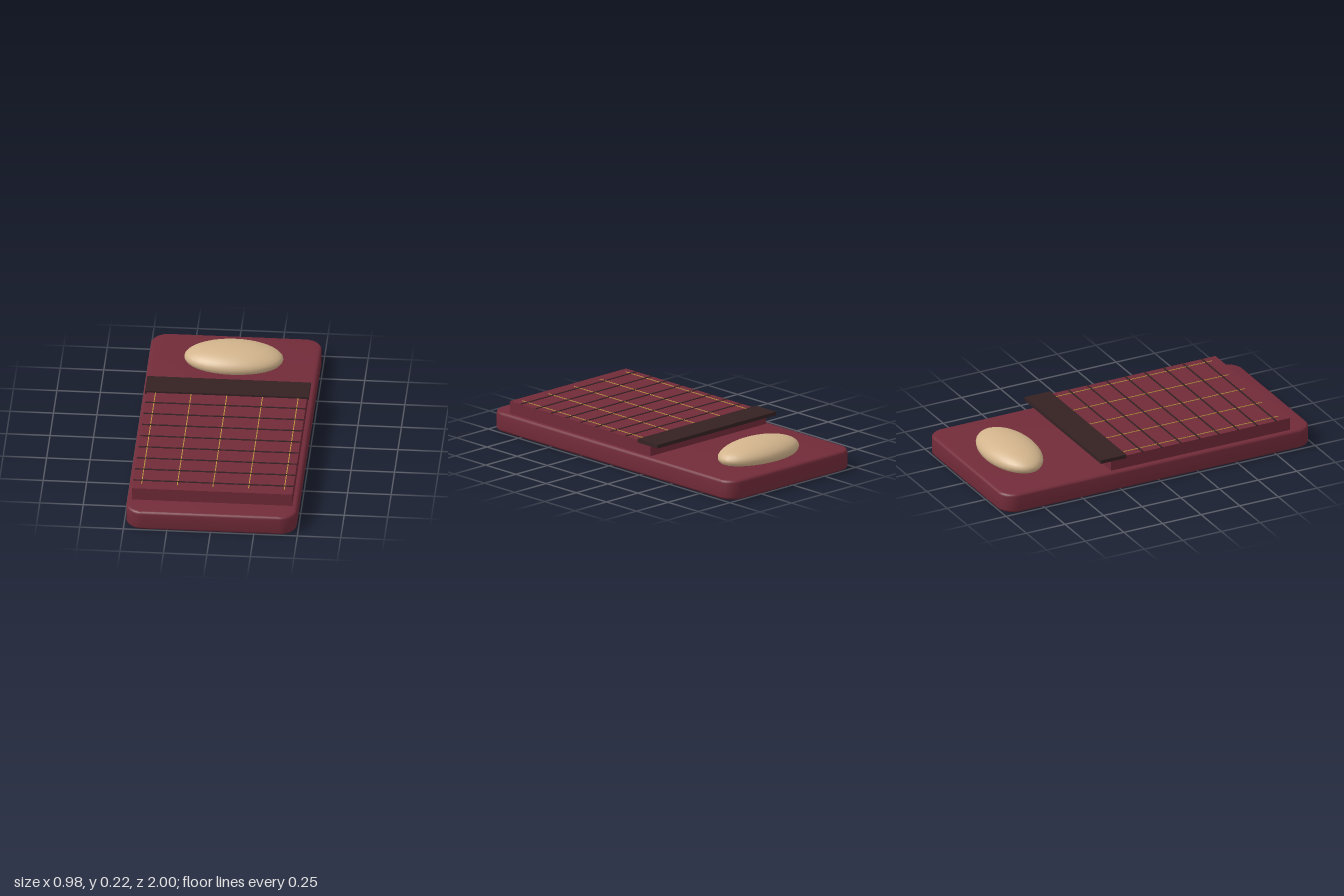
import * as THREE from 'three';
import { toCreasedNormals } from 'three/addons/utils/BufferGeometryUtils.js';

const material = (name, color) => {
  const m = new THREE.MeshStandardMaterial({ color });
  m.name = name;
  return m;
};

// Slab with rounded corners in plan and a soft bevel on its top and bottom rims
function roundedSlab(width, height, length, radius, bevel) {
  const w = width / 2 - bevel, l = length / 2 - bevel, r = radius - bevel;
  const s = new THREE.Shape();
  s.absarc(w - r, l - r, r, 0, Math.PI / 2);
  s.absarc(-w + r, l - r, r, Math.PI / 2, Math.PI);
  s.absarc(-w + r, -l + r, r, Math.PI, Math.PI * 1.5);
  s.absarc(w - r, -l + r, r, Math.PI * 1.5, Math.PI * 2);
  const g = new THREE.ExtrudeGeometry(s, {
    depth: height - 2 * bevel, bevelSize: bevel, bevelThickness: bevel,
    bevelSegments: 4, curveSegments: 8,
  });
  g.rotateX(-Math.PI / 2).translate(0, bevel, 0);
  return toCreasedNormals(g, 0.6);
}

export function createModel() {
  const model = new THREE.Group();
  model.name = 'bed';
  const wine = material('wine red', 0x722b39);
  const dark = material('dark brown', 0x352223);
  const gold = material('gold', 0xb8963e);
  const tan = material('tan', 0xd2b48c);

  const add = (name, geometry, mat, x = 0, y = 0, z = 0) => {
    const mesh = new THREE.Mesh(geometry, mat);
    mesh.name = name;
    mesh.position.set(x, y, z);
    model.add(mesh);
    return mesh;
  };

  // Mattress, blanket and the folded band at its head end
  add('mattress', roundedSlab(0.98, 0.115, 2, 0.1, 0.016), wine);
  add('blanket', new THREE.BoxGeometry(0.92, 0.08, 1.16), wine, 0, 0.15, 0.28);
  add('blanketFold', new THREE.BoxGeometry(0.94, 0.022, 0.165), dark, 0, 0.19, -0.288);

  // Plaid: dark stripes across, thin gold stripes along
  for (let i = 0; i < 8; i++) {
    add('crossStripe', new THREE.BoxGeometry(0.92, 0.006, 0.01), dark, 0, 0.19, -0.095 + i * 0.1235);
  }
  for (let i = -2; i <= 2; i++) {
    add('lengthStripe', new THREE.BoxGeometry(0.005, 0.005, 1.02), gold, i * 0.205, 0.19, 0.3);
  }

  // Pillow, sunk a little into the mattress
  const pillow = add('pillow', new THREE.SphereGeometry(1, 32, 20), tan, 0, 0.14, -0.715);
  pillow.scale.set(0.285, 0.081, 0.16);

  return model;
}
